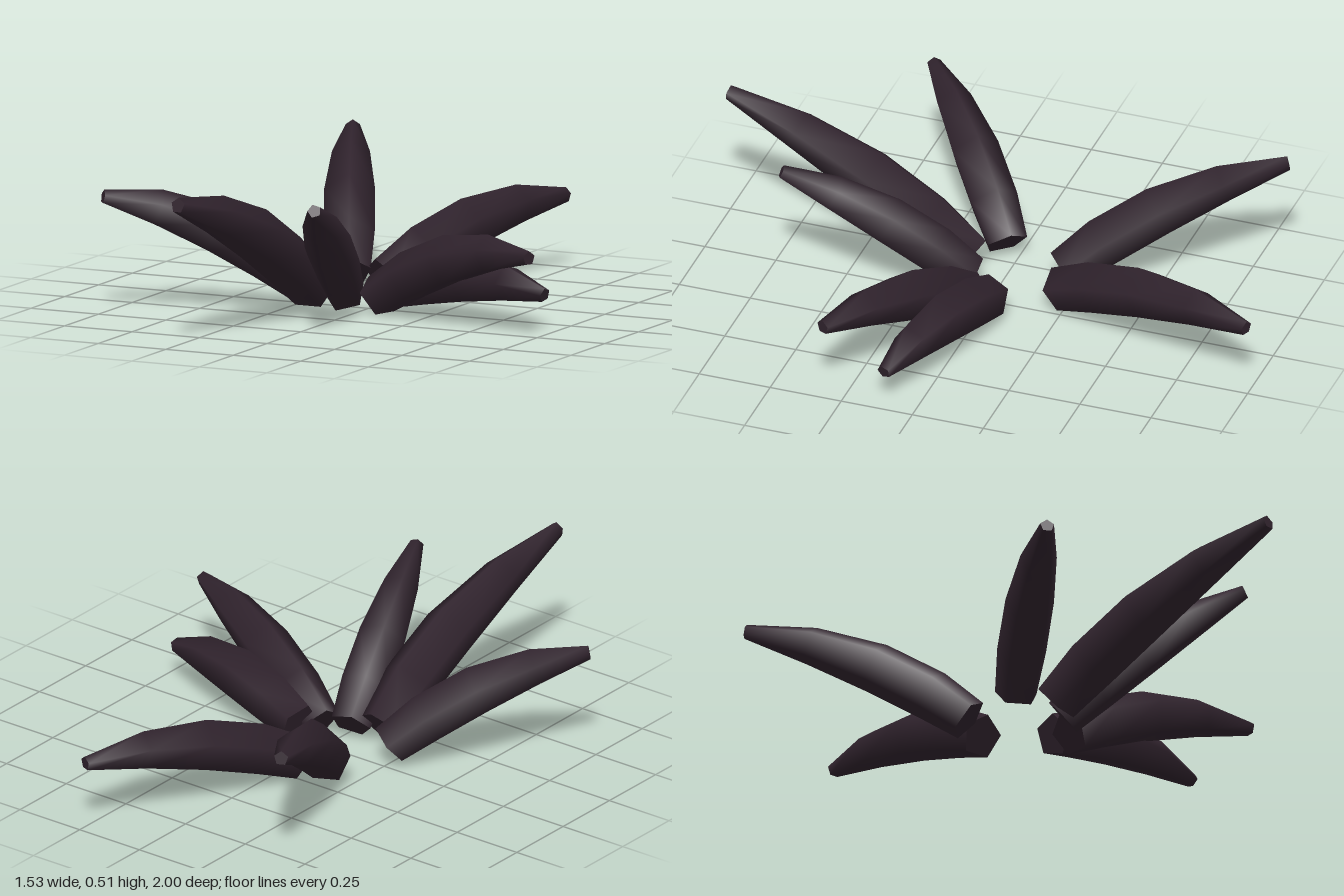
import * as THREE from 'three';

const SIDES = 5;
// Ring positions along a pod and its relative thickness there
const STEPS = [0, 0.2, 0.46, 0.74, 1];
const GIRTH = [0.88, 1.04, 1.03, 0.77, 0.29];

// Each pod: base, point halfway along, tip, greatest radius, roll about its length
const PODS = [
  ['backLeftPod', [-0.06, 0.068, -0.225], [0.085, 0.215, -0.6], [0.235, 0.25, -0.99], 0.085, 0],
  ['backRightPod', [-0.175, 0.08, -0.205], [-0.325, 0.3, -0.51], [-0.497, 0.44, -0.875], 0.086, 0],
  ['rightPod', [-0.25, 0.078, 0.03], [-0.49, 0.285, 0.24], [-0.75, 0.395, 0.465], 0.083, 0],
  ['frontRightPod', [-0.145, 0.078, 0.115], [-0.165, 0.325, 0.51], [-0.21, 0.49, 0.99], 0.092, 0],
  ['frontLeftPod', [-0.045, 0.065, 0.085], [0.035, 0.28, 0.37], [0.14, 0.45, 0.68], 0.08, 0.31],
  ['leftFrontPod', [0.055, 0.056, 0.045], [0.4, 0.228, 0.165], [0.752, 0.282, 0.315], 0.085, 0],
  ['leftBackPod', [0.08, 0.08, -0.035], [0.4, 0.15, 0.04], [0.71, 0.124, 0.115], 0.083, 0.31],
];

// Five-sided tube swept along an arched curve, with flat ends
function podGeometry(base, mid, tip, radius, roll) {
  const a = new THREE.Vector3(...base);
  const m = new THREE.Vector3(...mid);
  const b = new THREE.Vector3(...tip);
  const control = m.multiplyScalar(2).addScaledVector(a, -0.5).addScaledVector(b, -0.5);
  const curve = new THREE.QuadraticBezierCurve3(a, control, b);
  const positions = [];
  const index = [];

  STEPS.forEach((t, i) => {
    const centre = curve.getPoint(t);
    const forward = curve.getTangent(t);
    const side = new THREE.Vector3(0, 1, 0).cross(forward).normalize();
    const up = forward.clone().cross(side);
    for (let k = 0; k < SIDES; k++) {
      const angle = (k / SIDES) * Math.PI * 2 + roll;
      const p = centre.clone()
        .addScaledVector(up, Math.cos(angle) * radius * GIRTH[i])
        .addScaledVector(side, -Math.sin(angle) * radius * GIRTH[i]);
      positions.push(p.x, p.y, p.z);
    }
  });

  // Side faces share vertices so the shading is smooth
  for (let i = 0; i < STEPS.length - 1; i++) {
    for (let k = 0; k < SIDES; k++) {
      const p = i * SIDES + k;
      const q = i * SIDES + ((k + 1) % SIDES);
      index.push(p, q, p + SIDES, q, q + SIDES, p + SIDES);
    }
  }

  // End caps have their own vertices so the rims stay sharp
  for (const ring of [0, STEPS.length - 1]) {
    const start = positions.length / 3;
    positions.push(...positions.slice(ring * SIDES * 3, (ring + 1) * SIDES * 3));
    for (let k = 1; k < SIDES - 1; k++) {
      if (ring === 0) index.push(start, start + k + 1, start + k);
      else index.push(start, start + k, start + k + 1);
    }
  }

  const geometry = new THREE.BufferGeometry();
  geometry.setAttribute('position', new THREE.Float32BufferAttribute(positions, 3));
  geometry.setIndex(index);
  geometry.computeVertexNormals();
  return geometry;
}

export function createModel() {
  const group = new THREE.Group();
  group.name = 'podCluster';
  const material = new THREE.MeshStandardMaterial({ color: 0x30232d });
  material.name = 'darkPlum';

  for (const [name, ...shape] of PODS) {
    const pod = new THREE.Mesh(podGeometry(...shape), material);
    pod.name = name;
    group.add(pod);
  }
  return group;
}
